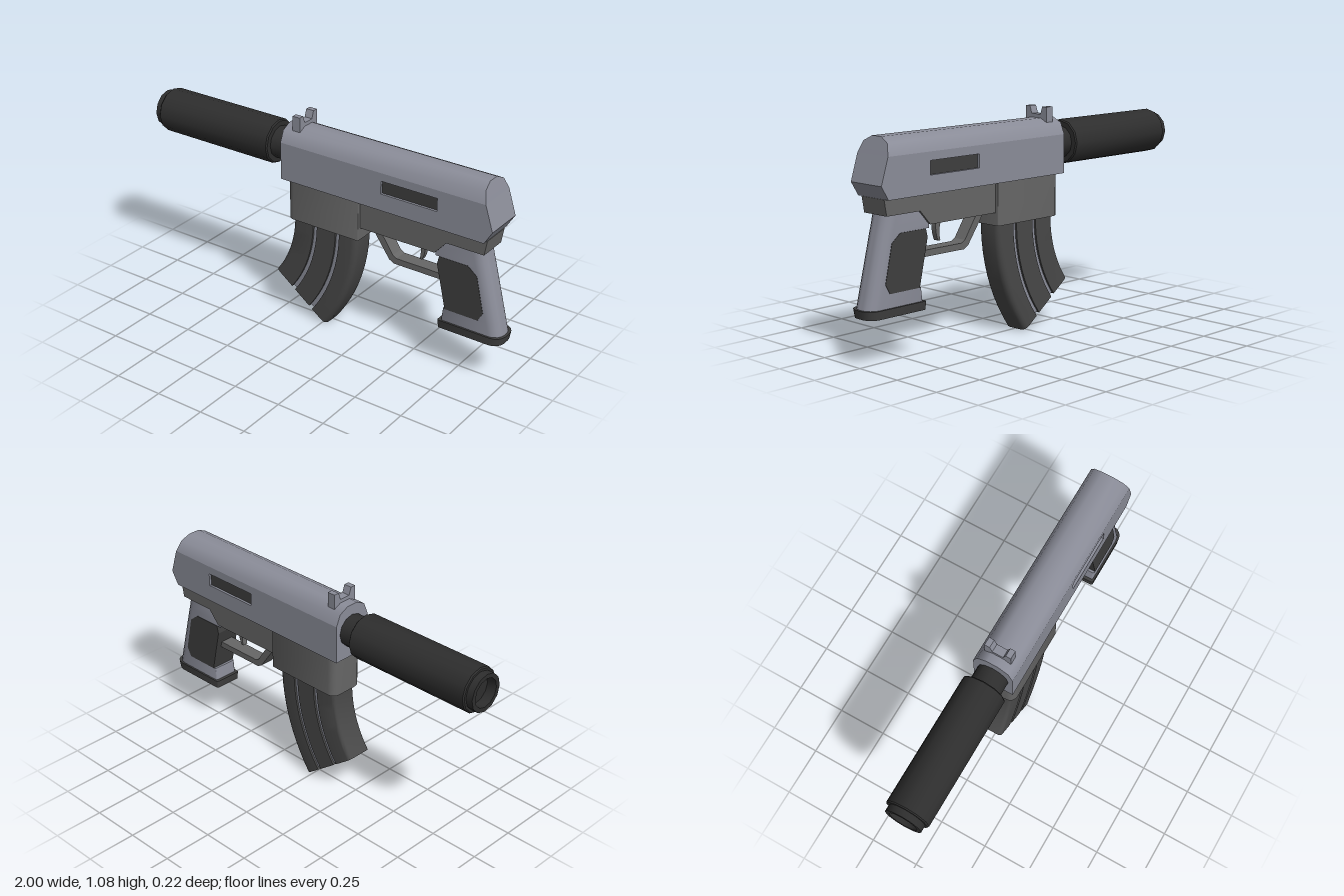
import * as THREE from 'three';
import { toCreasedNormals } from 'three/addons/utils/BufferGeometryUtils.js';

const mat = (color) => new THREE.MeshStandardMaterial({ color });
const steel = mat(0x8b8d99), frameGrey = mat(0x666666), magGrey = mat(0x484848);
const panelGrey = mat(0x3e3e3e), black = mat(0x2e2e2e);

// Rounded rectangle from x0 to x1 and -w to w, with one corner radius per end
function section(x0, x1, w, r0 = 0, r1 = 0) {
  const pts = [];
  const corners = [[x1 - r1, w - r1, r1], [x0 + r0, w - r0, r0], [x0 + r0, r0 - w, r0], [x1 - r1, r1 - w, r1]];
  corners.forEach(([x, z, r], k) => {
    for (let i = 0; i <= 4; i++) {
      const a = (k + i / 4) * Math.PI / 2;
      pts.push([x + r * Math.cos(a), -z - r * Math.sin(a)]);
    }
  });
  return pts;
}

// Skin over a stack of rings (lowest first) with closed ends
function loft(rings, crease = 0.6) {
  const n = rings[0].length, pos = rings.flat(2), idx = [];
  const ends = [rings[0], rings[rings.length - 1]];
  for (const ring of ends)
    for (let k = 0; k < 3; k++) pos.push(ring.reduce((s, p) => s + p[k], 0) / n);
  const c0 = rings.length * n, top = c0 - n;
  for (let j = 0; j < n; j++) {
    const k = (j + 1) % n;
    for (let i = 0; i < top; i += n)
      idx.push(i + j, i + k, i + n + k, i + j, i + n + k, i + n + j);
    idx.push(c0, k, j, c0 + 1, top + j, top + k);
  }
  const g = new THREE.BufferGeometry();
  g.setAttribute('position', new THREE.Float32BufferAttribute(pos, 3));
  g.setIndex(idx);
  return toCreasedNormals(g, crease);
}

// Rows are [y, x0, x1, halfWidth, r0, r1]
const stack = (rows, crease) =>
  loft(rows.map(([y, ...s]) => section(...s).map(([x, z]) => [x, y, z])), crease);

const toShape = (pts) => new THREE.Shape(pts.map(([x, y]) => new THREE.Vector2(x, y)));

// Side profile extruded evenly about z = 0
const slab = (shape, w) =>
  new THREE.ExtrudeGeometry(shape, { depth: 2 * w, bevelEnabled: false, curveSegments: 6 }).translate(0, 0, -w);

export function createModel() {
  const model = new THREE.Group();
  const add = (name, geometry, material) => {
    const mesh = new THREE.Mesh(geometry, material);
    mesh.name = name;
    model.add(mesh);
    return mesh;
  };

  // Receiver: core with rounded top and slanted rear
  add('receiver', stack([
    [0.755, -0.21, 0.905, 0.088],
    [0.82, -0.21, 0.945, 0.088],
    [0.945, -0.21, 0.905, 0.088],
    [0.945, -0.21, 0.905, 0.103],
    [1.0, -0.21, 0.888, 0.08],
    [1.025, -0.21, 0.88, 0.03],
  ], 0.75), steel);

  // Side plates with a recessed port on each side
  const plate = toShape([[-0.21, 0.755], [0.905, 0.755], [0.945, 0.82], [0.905, 0.945], [-0.21, 0.945]]);
  plate.holes.push(toShape([[0.36, 0.84], [0.36, 0.905], [0.66, 0.905], [0.66, 0.84]]));
  for (const s of [1, -1]) {
    const side = slab(plate, 0.0075).translate(0, 0, s * 0.0955);
    add(s > 0 ? 'leftSidePlate' : 'rightSidePlate', side, steel);
    const port = new THREE.BoxGeometry(0.3, 0.065, 0.006).translate(0.51, 0.8725, s * 0.088);
    add(s > 0 ? 'leftPort' : 'rightPort', port, panelGrey);
  }

  // Notched sight
  const sight = toShape([
    [-0.068, 0.98], [0.068, 0.98], [0.068, 1.08], [0.041, 1.08],
    [0.028, 1.043], [-0.028, 1.043], [-0.041, 1.08], [-0.068, 1.08],
  ]);
  add('sight', slab(sight, 0.021).rotateY(Math.PI / 2).translate(-0.142, 0, 0), steel);

  // Barrel sleeve with neck, stepped tip and open bore, pointing to -x
  const profile = [
    [0, 0.2], [0.08, 0.2], [0.08, 0.29], [0.105, 0.29], [0.111, 0.296], [0.111, 0.96],
    [0.105, 0.966], [0.094, 0.966], [0.094, 1], [0.072, 1], [0.072, 0.95], [0, 0.95],
  ].map(([r, s]) => new THREE.Vector2(r, s));
  const sleeve = toCreasedNormals(new THREE.LatheGeometry(profile, 12), 0.6);
  add('barrelSleeve', sleeve.rotateZ(Math.PI / 2).translate(0, 0.893, 0), black);

  // Magazine well and lower frame
  add('magazineWell', stack([
    [0.55, -0.185, 0.23, 0.093, 0.04, 0.006],
    [0.755, -0.185, 0.23, 0.093, 0.04, 0.006],
  ]), frameGrey);
  add('lowerFrame', slab(toShape([
    [0.22, 0.755], [0.22, 0.612], [0.64, 0.612], [0.70, 0.68], [0.895, 0.68], [0.908, 0.755],
  ]), 0.076), frameGrey);

  // Curved magazine: three ribs around a narrower light core
  const arc = (r0, r1, w, c0, c1, sweep) => {
    const rings = [];
    for (let i = 10; i >= 0; i--) {
      const t = -0.03 + (sweep + 0.03) * i / 10;
      rings.push(section(r0, r1, w, c0, c1).map(([r, z]) =>
        [-0.704 + r * Math.cos(t), 0.55 - r * Math.sin(t), z]));
    }
    return loft(rings);
  };
  const sweep = 0.645;
  add('magazineCore', arc(0.57, 0.88, 0.058, 0, 0, sweep - 0.012), steel);
  add('magazineFrontRib', arc(0.54, 0.657, 0.068, 0.02, 0, sweep), magGrey);
  add('magazineMiddleRib', arc(0.679, 0.787, 0.068, 0, 0, sweep), magGrey);
  add('magazineRearRib', arc(0.809, 0.909, 0.068, 0, 0.03, sweep), magGrey);

  // Trigger guard and trigger
  add('triggerGuard', slab(toShape([
    [0.265, 0.62], [0.37, 0.472], [0.395, 0.457], [0.70, 0.457],
    [0.70, 0.488], [0.41, 0.488], [0.39, 0.5], [0.31, 0.62],
  ]), 0.035), frameGrey);
  const trigger = new THREE.Shape();
  trigger.moveTo(0.512, 0.62);
  trigger.quadraticCurveTo(0.54, 0.575, 0.525, 0.515);
  trigger.lineTo(0.538, 0.515);
  trigger.quadraticCurveTo(0.56, 0.56, 0.55, 0.62);
  add('trigger', slab(trigger, 0.014), frameGrey);

  // Grip with rounded back, wraparound panel and base plate
  add('grip', stack([
    [0.26, 0.68, 0.99, 0.065, 0.008, 0.055],
    [0.33, 0.688, 0.973, 0.065, 0.008, 0.055],
    [0.33, 0.71, 0.973, 0.065, 0.008, 0.055],
    [0.595, 0.67, 0.907, 0.065, 0.008, 0.055],
    [0.595, 0.635, 0.907, 0.065, 0.008, 0.055],
    [0.62, 0.635, 0.9, 0.065, 0.008, 0.055],
    [0.685, 0.70, 0.885, 0.065, 0.008, 0.055],
  ]), steel);
  add('gripPanel', slab(toShape([
    [0.70, 0.33], [0.875, 0.33], [0.9, 0.375], [0.86, 0.555],
    [0.81, 0.595], [0.66, 0.595], [0.65, 0.555],
  ]), 0.067), panelGrey);
  add('gripBasePlate', stack([
    [0.225, 0.667, 0.993, 0.072, 0.01, 0.055],
    [0.265, 0.665, 1.0, 0.074, 0.01, 0.055],
  ]), panelGrey);

  return model;
}
